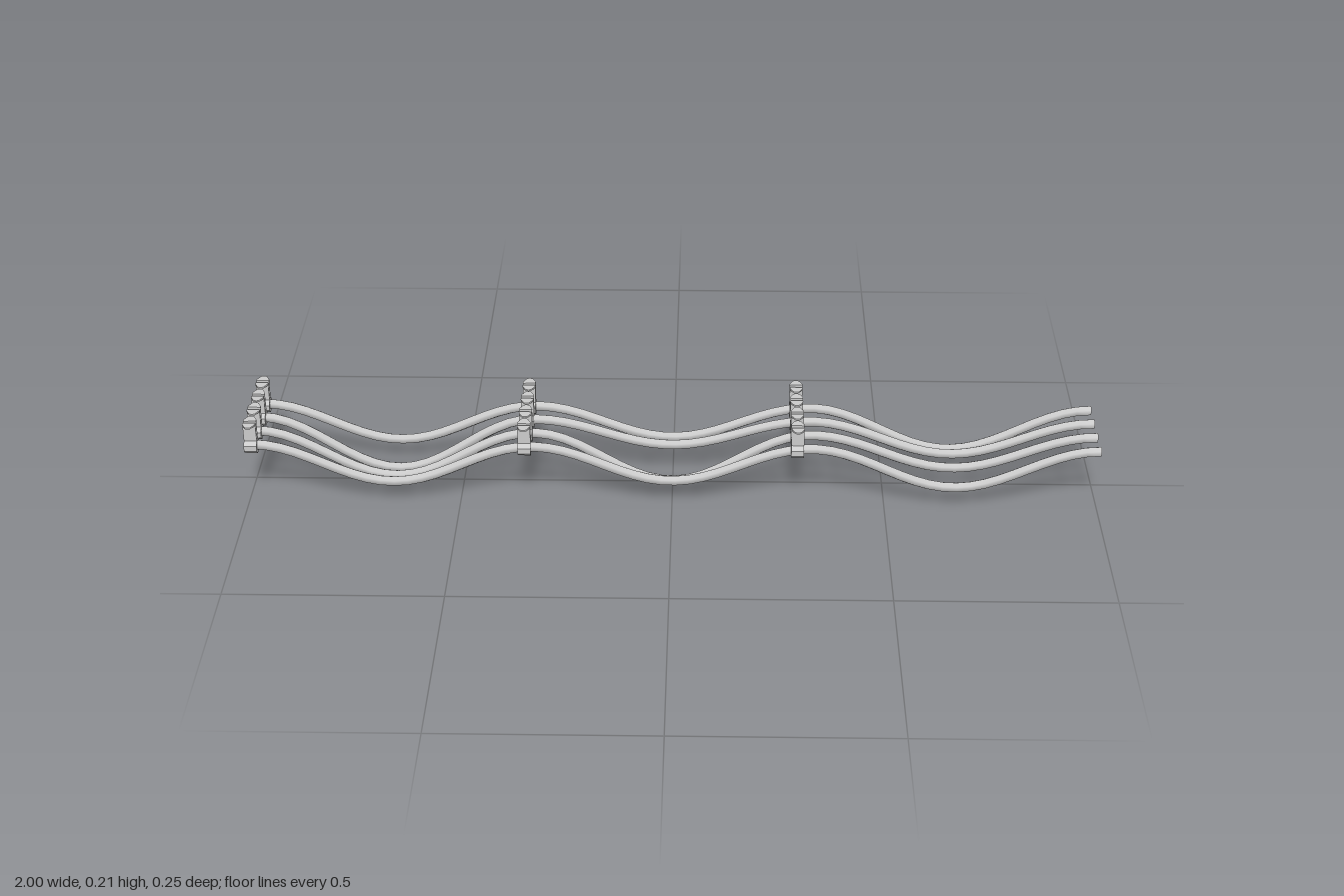
import * as THREE from 'three';

const CLIPS = [-0.985, -0.345, 0.293];
const STOPS = [-0.985, -0.33, 0.325, 1]; // high points along each cable
const TOP = 0.15; // cable centre height at a high point
const R = 0.0125;

// one row per cable: depth, then lowest centre height in each span
const CABLES = [
  { z: 0.096, low: [0.052, 0.06, 0.0485] },
  { z: 0.032, low: [0.03, 0.0225, 0.064] },
  { z: -0.032, low: [0.0125, 0.083, 0.064] },
  { z: -0.096, low: [0.054, 0.067, 0.04] },
];

const mat = new THREE.MeshStandardMaterial({ color: 0xcccccc });
const flatMat = new THREE.MeshStandardMaterial({ color: 0xcccccc, flatShading: true });
const openMat = new THREE.MeshStandardMaterial({ color: 0xcccccc, side: THREE.DoubleSide });

function add(parent, name, geometry, material) {
  const mesh = new THREE.Mesh(geometry, material);
  mesh.name = name;
  parent.add(mesh);
  return mesh;
}

// height and slope of a cable: a cosine dip between neighbouring high points
function sag(x, low) {
  const i = x < STOPS[1] ? 0 : x < STOPS[2] ? 1 : 2;
  const length = STOPS[i + 1] - STOPS[i];
  const a = (2 * Math.PI * (x - STOPS[i])) / length;
  const half = (TOP - low[i]) / 2;
  return { y: TOP - half * (1 - Math.cos(a)), slope: (-half * Math.sin(a) * 2 * Math.PI) / length };
}

// six-sided open tube bent along the sagging line
function cableGeometry(low) {
  const length = STOPS[3] - STOPS[0];
  const g = new THREE.CylinderGeometry(R, R, length, 6, 60, true);
  g.rotateY(Math.PI / 2).rotateZ(Math.PI / 2).translate(STOPS[0] + length / 2, 0, 0);
  const p = g.attributes.position;
  for (let i = 0; i < p.count; i++) {
    const x = p.getX(i), off = p.getY(i);
    const { y, slope } = sag(x, low);
    const angle = Math.atan(slope);
    p.setXY(i, x - Math.sin(angle) * off, y + Math.cos(angle) * off);
  }
  g.computeVertexNormals();
  return g;
}

// flat tab that narrows to a rounded outer end, lying in the xz plane
function tabGeometry() {
  const s = new THREE.Shape();
  s.moveTo(0.015, 0.005);
  s.lineTo(0.015, 0.011);
  s.absarc(0, 0.0185, 0.01, Math.PI * 0.1, Math.PI * 0.9, false);
  s.lineTo(-0.015, 0.011);
  s.lineTo(-0.015, 0.005);
  s.closePath();
  const g = new THREE.ExtrudeGeometry(s, { depth: 0.004, bevelEnabled: false, curveSegments: 6 });
  return g.rotateX(Math.PI / 2);
}

// clip: collar round the cable, two upright plates and two top tabs
function makeClip() {
  const clip = new THREE.Group();
  clip.name = 'clip';
  const collar = new THREE.CylinderGeometry(0.0205, 0.0205, 0.03, 8);
  collar.rotateY(Math.PI / 8).rotateZ(Math.PI / 2).scale(1, 0.87, 1);
  add(clip, 'collar', collar, flatMat).position.y = 0.1475;
  for (const side of [1, -1]) {
    const plate = add(clip, 'uprightPlate', new THREE.BoxGeometry(0.03, 0.052, 0.0035), mat);
    plate.position.set(0, 0.183, side * 0.0065);
    const tab = add(clip, 'mountingTab', tabGeometry(), flatMat);
    tab.position.y = 0.21;
    if (side < 0) tab.rotation.y = Math.PI;
  }
  return clip;
}

export function createModel() {
  const model = new THREE.Group();
  model.name = 'hangingCables';
  for (const { z, low } of CABLES) {
    const run = new THREE.Group();
    run.name = 'cableRun';
    run.position.z = z;
    add(run, 'cable', cableGeometry(low), openMat);
    for (const x of CLIPS) {
      const clip = makeClip();
      clip.position.x = x;
      run.add(clip);
    }
    model.add(run);
  }
  return model;
}
